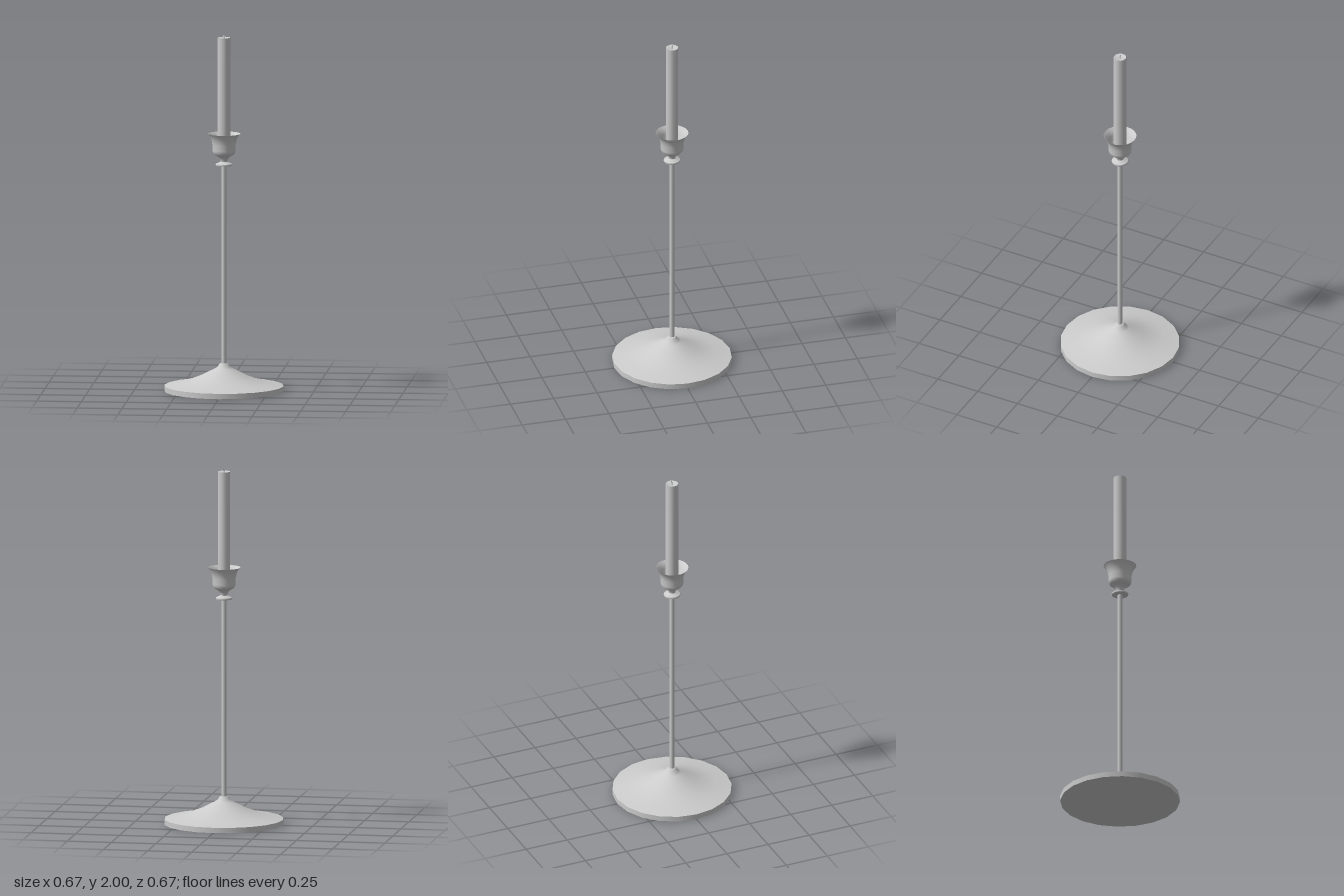
import * as THREE from 'three';

const material = new THREE.MeshStandardMaterial({ color: 0xcccccc, side: THREE.DoubleSide });

// Turned part made of several profile runs [radius, height]; each run is smooth, joins stay sharp
function turned(name, sides, ...runs) {
  const part = new THREE.Group();
  part.name = name;
  runs.forEach((run, i) => {
    const points = run.map(([r, y]) => new THREE.Vector2(r, y));
    const mesh = new THREE.Mesh(new THREE.LatheGeometry(points, sides), material);
    mesh.name = `${name}Surface${i + 1}`;
    part.add(mesh);
  });
  return part;
}

export function createModel() {
  const model = new THREE.Group();
  model.name = 'candlestick';

  // Wide foot: flat underside, thin rim, sweeping trumpet top
  model.add(turned('base', 20,
    [[0, 0], [0.333, 0]],
    [[0.333, 0], [0.333, 0.03]],
    [[0.333, 0.03], [0.25, 0.045], [0.19, 0.062], [0.135, 0.083], [0.085, 0.109],
      [0.05, 0.126], [0.035, 0.136], [0.027, 0.15], [0.021, 0.155]],
    [[0.021, 0.155], [0, 0.155]]));

  // Slender rod
  model.add(turned('stem', 16, [[0.0135, 0.15], [0.0135, 1.27]]));

  // Small collar disc below the cup
  model.add(turned('collar', 32,
    [[0, 1.266], [0.045, 1.266]],
    [[0.045, 1.266], [0.047, 1.271], [0.045, 1.276]],
    [[0.045, 1.276], [0.03, 1.282], [0.02, 1.288]]));

  // Flared cup: outside, then inside down to the floor
  model.add(turned('cup', 32,
    [[0.02, 1.286], [0.021, 1.296], [0.026, 1.308], [0.036, 1.318], [0.054, 1.328],
      [0.062, 1.338], [0.064, 1.352], [0.065, 1.385], [0.07, 1.408], [0.079, 1.43], [0.091, 1.445]],
    [[0.091, 1.445], [0.074, 1.43], [0.063, 1.41], [0.055, 1.385], [0.047, 1.375]],
    [[0.047, 1.375], [0.047, 1.345]],
    [[0.047, 1.345], [0, 1.345]]));

  // Candle with a slightly dished top
  model.add(turned('candle', 12,
    [[0.035, 1.345], [0.035, 1.985]],
    [[0.035, 1.985], [0.018, 1.981], [0, 1.978]]));

  // Short bent wick
  const path = new THREE.CatmullRomCurve3([
    new THREE.Vector3(0, 1.976, 0),
    new THREE.Vector3(0, 1.99, 0),
    new THREE.Vector3(0.002, 1.9995, -0.004),
  ]);
  const wick = new THREE.Mesh(new THREE.TubeGeometry(path, 6, 0.0035, 6), material);
  wick.name = 'wick';
  model.add(wick);

  return model;
}
